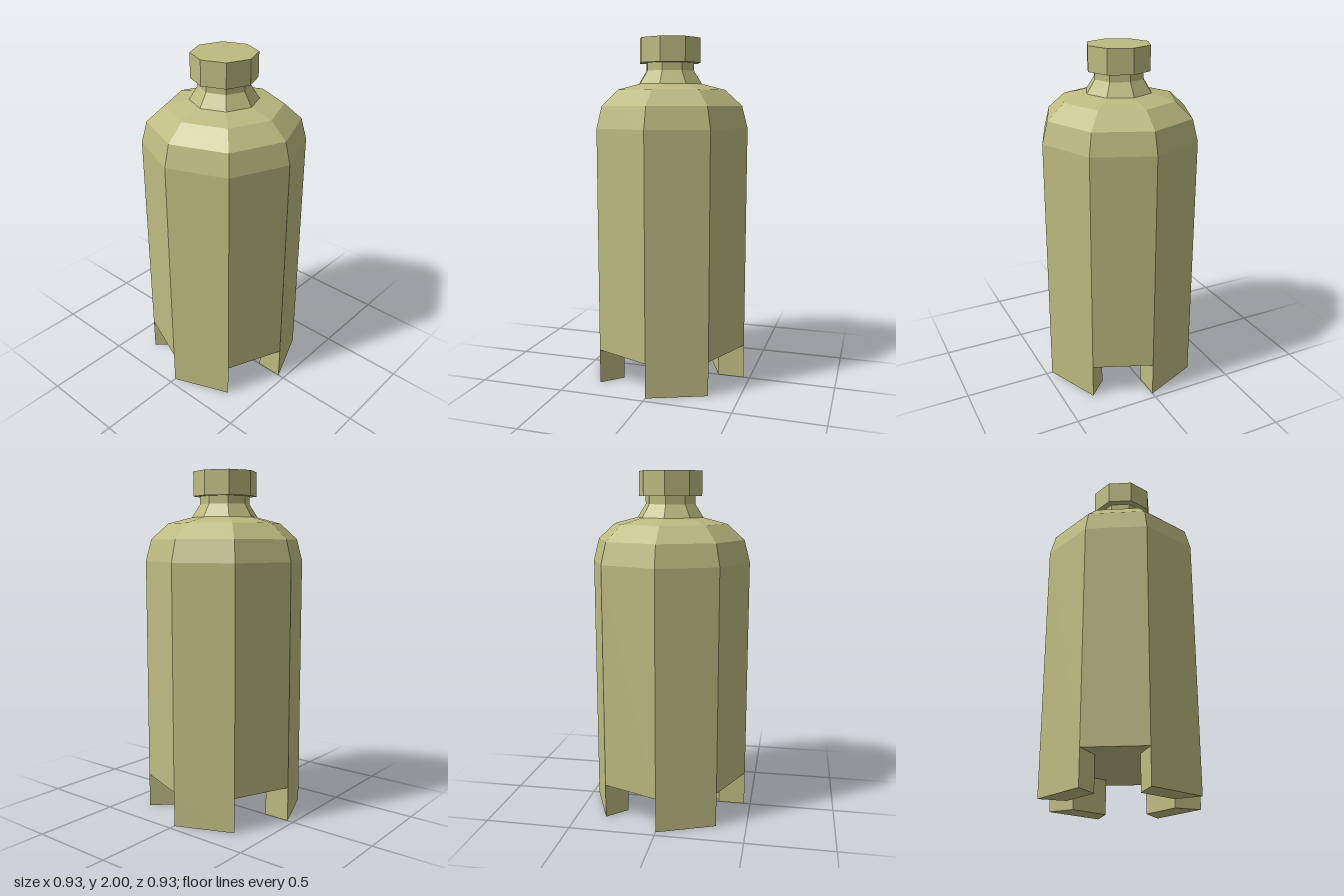
import * as THREE from 'three';

const SIDES = 8;
const BODY_R = 0.463;
const FOOT_INNER_R = 0.308;
const FOOT_H = 0.2;

// Unshared corners give every facet its own flat normal
function faceted(geometry) {
  const flat = geometry.index ? geometry.toNonIndexed() : geometry;
  flat.computeVertexNormals();
  return flat;
}

// Octagonal solid of revolution from [radius, height] pairs, bottom to top
function turned(profile) {
  const points = profile.map(([r, y]) => new THREE.Vector2(r, y));
  return faceted(new THREE.LatheGeometry(points, SIDES));
}

// One foot: a wedge of the octagonal ring, from +z towards +x
function footGeometry() {
  const corner = (r, angle) => new THREE.Vector2(r * Math.sin(angle), -r * Math.cos(angle));
  const step = (2 * Math.PI) / SIDES;
  const shape = new THREE.Shape([
    corner(BODY_R, 0),
    corner(BODY_R, step),
    corner(FOOT_INNER_R, step),
    corner(FOOT_INNER_R, 0),
  ]);
  const geometry = new THREE.ExtrudeGeometry(shape, { depth: FOOT_H, bevelEnabled: false });
  geometry.rotateX(-Math.PI / 2);
  return faceted(geometry);
}

export function createModel() {
  const model = new THREE.Group();
  model.name = 'bottle';
  const olive = new THREE.MeshStandardMaterial({ color: 0xbdbb80 });
  olive.name = 'pale olive';

  const add = (name, geometry) => {
    const mesh = new THREE.Mesh(geometry, olive);
    mesh.name = name;
    model.add(mesh);
    return mesh;
  };

  // Body with rounded shoulder
  add('body', turned([
    [0, FOOT_H], [BODY_R, FOOT_H], [BODY_R, 1.49],
    [0.43, 1.615], [0.33, 1.705], [0.193, 1.74],
  ]));

  // Tapered neck
  add('neck', turned([[0.193, 1.74], [0.145, 1.815], [0.145, 1.86]]));

  // Cap overhanging the neck
  add('cap', turned([[0, 1.86], [0.184, 1.86], [0.184, 2], [0, 2]]));

  // Four feet under every other side
  const foot = footGeometry();
  for (let i = 0; i < 4; i++) {
    add('foot' + (i + 1), foot).rotation.y = (i * Math.PI) / 2;
  }

  return model;
}
